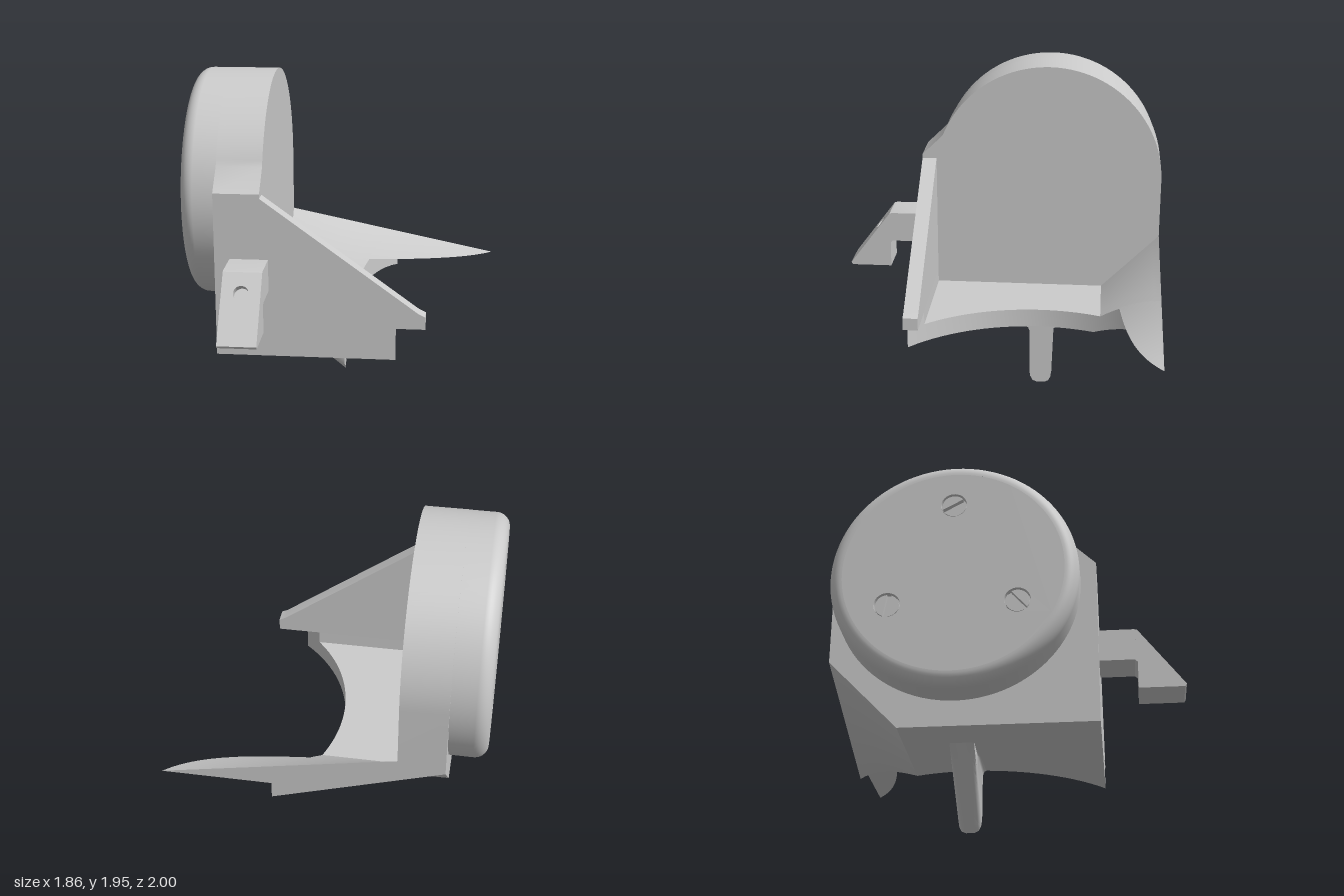
import * as THREE from 'three';
import { toCreasedNormals } from 'three/addons/utils/BufferGeometryUtils.js';

const grey = new THREE.MeshStandardMaterial({ color: 0xcccccc });
const greyOpen = new THREE.MeshStandardMaterial({ color: 0xcccccc, side: THREE.DoubleSide });

function mesh(name, geometry, material = grey) {
  const m = new THREE.Mesh(geometry, material);
  m.name = name;
  return m;
}

const shapeOf = pts => new THREE.Shape(pts.map(p => new THREE.Vector2(...p)));

function extrude(shape, depth) {
  return toCreasedNormals(
    new THREE.ExtrudeGeometry(shape, { depth, bevelEnabled: false, curveSegments: 32 }), 0.5);
}

// Extrudes a (z, y) outline along x, from x0 to x1
function extrudeX(pts, x0, x1) {
  return extrude(shapeOf(pts.map(([z, y]) => [-z, y])), x1 - x0)
    .rotateY(Math.PI / 2).translate(x0, 0, 0);
}

// Surface through rows of points
function loft(rows, crease = 0.5) {
  const n = rows[0].length, index = [];
  for (let i = 0; i < rows.length - 1; i++)
    for (let j = 0; j < n - 1; j++) {
      const a = i * n + j, b = a + n;
      index.push(a, b, a + 1, b, b + 1, a + 1);
    }
  const g = new THREE.BufferGeometry();
  g.setAttribute('position', new THREE.Float32BufferAttribute(rows.flat(2), 3));
  g.setIndex(index);
  return toCreasedNormals(g, crease);
}

// Solid between heights low and high, from x0 to x1, over descending z stations
function slab(zs, x0, x1, low, high) {
  const n = 8;
  const row = (z, closed) => {
    const under = [], over = [];
    for (let i = 0; i <= n; i++) {
      const x = THREE.MathUtils.lerp(x0(z), x1(z), i / n);
      const b = low(x, z), h = Math.max(high(x, z), b), mid = (b + h) / 2;
      under.push([x, closed ? mid : b, z]);
      over.unshift([x, closed ? mid : h, z]);
    }
    return [...under, ...over];
  };
  return loft([row(zs[0], true), ...zs.map(z => row(z)), row(zs[zs.length - 1], true)]);
}

const steps = (a, b, n) => Array.from({ length: n + 1 }, (_, i) => a + (b - a) * i / n);

// Rules shared by the tray and its rear fin
const arcEdge = z => 1.01 - Math.sqrt(1.03 ** 2 - (z + 0.27) ** 2);
const backTop = x => 0.86 - 0.2044 * (x + 0.44);
const backBottom = x => 0.8 - 0.33 * (x + 0.71);
const topHeight = (x, z) => z >= 0.43 ? 0.58
  : 0.5 + (backTop(x) - 0.5) * Math.max(0, (-0.64 - z) / 0.36);
const bottomHeight = (x, z) => 0.385 + (backBottom(x) - 0.385) * Math.max(0, (-0.6 - z) / 0.4);
const finEdge = z => -0.44 + (0.36 - 0.08 * 0.36 / (-0.64 - z)) / 0.2044;

function createCap() {
  const cap = new THREE.Group();
  cap.name = 'roundCap';
  const R = 0.707, r = 0.08, depth = 0.222;

  // Rim with a rounded outer edge
  const profile = [new THREE.Vector2(R, 0)];
  for (const a of steps(0, Math.PI / 2, 10))
    profile.push(new THREE.Vector2(R - r + r * Math.cos(a), depth - r + r * Math.sin(a)));
  cap.add(mesh('capRim', new THREE.LatheGeometry(profile, 96).rotateX(Math.PI / 2)));

  // Flat face with three screw recesses
  const face = new THREE.Shape().absarc(0, 0, R - r, 0, Math.PI * 2);
  const screwR = 0.075;
  for (let i = 0; i < 3; i++) {
    const a = Math.PI / 2 + i * Math.PI * 2 / 3;
    const x = 0.42 * Math.cos(a), y = 0.42 * Math.sin(a);
    face.holes.push(new THREE.Path().absarc(x, y, screwR, 0, Math.PI * 2, true));

    const screw = new THREE.Group();
    screw.name = 'screw';
    screw.position.set(x, y, depth);
    screw.rotation.z = 0.5 + i * 0.9;
    screw.add(mesh('screwRecess', new THREE.CylinderGeometry(screwR, screwR, 0.04, 32, 1, true)
      .rotateX(Math.PI / 2).translate(0, 0, -0.02), greyOpen));
    screw.add(mesh('slotFloor', new THREE.CircleGeometry(screwR, 32).translate(0, 0, -0.04)));
    for (const start of [0, Math.PI]) {
      const half = new THREE.Shape().absarc(0, 0, screwR - 0.008, start + 0.2, start + Math.PI - 0.2);
      screw.add(mesh('screwHeadHalf', extrude(half, 0.03).translate(0, 0, -0.04)));
    }
    cap.add(screw);
  }
  cap.add(mesh('capFace', new THREE.ShapeGeometry(face, 64).translate(0, 0, depth)));

  cap.rotation.y = -Math.PI / 2;
  cap.position.set(-0.708, 1.243, -0.278);
  return cap;
}

function createBracket() {
  const bracket = new THREE.Group();
  bracket.name = 'frontBracket';
  const x0 = -0.62, x1 = -0.395, depth = 0.05;
  // Point on the sloping face, s along it and d into it
  const onSlope = (s, d = 0) => [0.735 + 0.604 * s - 0.797 * d, 0.98 - 0.797 * s - 0.604 * d];
  const s0 = 0.05, s1 = 0.21;
  bracket.add(mesh('bracketBody', extrudeX([
    [0.51, 0.98], [0.72, 0.98], onSlope(0.005), onSlope(s0), onSlope(s0, depth), onSlope(s1, depth),
    onSlope(s1), [1, 0.63], [0.99, 0.615], [0.735, 0.615], [0.735, 0.775], [0.72, 0.79], [0.51, 0.79],
  ], x0, x1)));

  // Inset plate carrying the round hole
  const w = (x1 - x0) / 2, h = (s1 - s0) / 2;
  const plate = shapeOf([[-w, -h], [w, -h], [w, h], [-w, h]]);
  plate.holes.push(new THREE.Path().absarc(0, 0, 0.044, 0, Math.PI * 2, true));
  const inset = mesh('holePlate', extrude(plate, depth));
  const [z, y] = onSlope((s0 + s1) / 2, depth);
  inset.position.set((x0 + x1) / 2, y, z);
  inset.rotation.x = -Math.atan2(0.604, 0.797);
  bracket.add(inset);
  return bracket;
}

function createKeel() {
  // Half section: half width and share of the depth
  const half = [[0.10, 0], [0.08, 0.03], [0.071, 0.09], [0.07, 0.8], [0.064, 0.9], [0.05, 0.97], [0.025, 1]];
  const section = [...half.map(([w, k]) => [w, k]), ...half.map(([w, k]) => [-w, k]).reverse()];
  const rows = steps(-0.47, -0.015, 10).map(x => {
    const drop = 0.39 * (x + 0.47) / 0.455;
    return section.map(([w, k]) => [x, 0.39 - drop * k, -0.27 + w]);
  });
  // Flat end: fold the last section onto its centre line
  rows.push(section.map(([, k]) => [-0.015, 0.39 - 0.39 * k, -0.27]));
  return mesh('keel', loft(rows, 0.7), greyOpen);
}

export function createModel() {
  const model = new THREE.Group();
  model.name = 'model';

  // Domed housing plate
  const dome = steps(0.38, Math.PI, 48).map(a => [-0.28 + 0.72 * Math.cos(a), 1.23 + 0.72 * Math.sin(a)]);
  model.add(mesh('housing', extrudeX(
    [[0.52, 0.385], [0.52, 1.37], ...dome, [-1, 0.8], [-0.6, 0.385]].reverse(), -0.71, -0.44)));
  model.add(createCap());

  // Tray floor with curved end and rising back
  const zs = [0.52, 0.475, 0.43, 0.429, ...steps(0.38, -0.6, 20), -0.64, ...steps(-0.68, -1, 8)];
  model.add(mesh('tray', slab(zs, () => -0.705, arcEdge, bottomHeight, topHeight)));

  // Pointed rear fin
  model.add(mesh('rearFin', slab(steps(-0.757, -1, 12), z => arcEdge(z) - 0.01,
    z => Math.max(finEdge(z), arcEdge(z)), () => 0.58, topHeight)));

  // Sloping front wall
  model.add(mesh('frontWall', extrude(shapeOf([
    [-0.5, 0.4], [0.24, 0.4], [0.24, 0.58], [0.52, 0.58], [0.52, 0.655], [0.48, 0.675],
    [-0.44, 1.345], [-0.5, 1.345],
  ]), 0.09).translate(0, 0, 0.43)));

  model.add(createBracket(), createKeel());
  return model;
}
